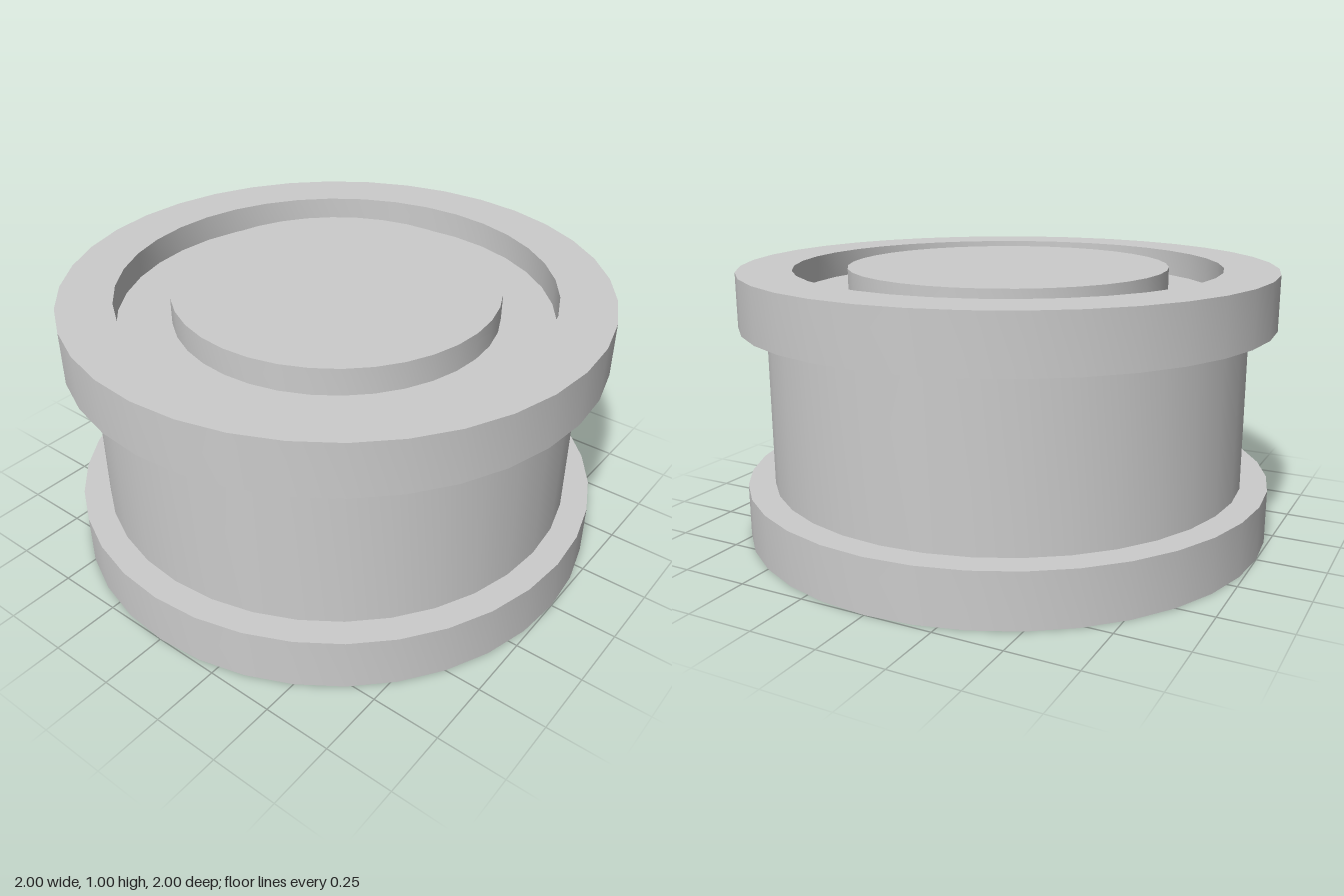
import * as THREE from 'three';
import { toCreasedNormals } from 'three/addons/utils/BufferGeometryUtils.js';

const SEGMENTS = 36;

export function createModel() {
  const group = new THREE.Group();
  group.name = 'flangedSpool';
  const material = new THREE.MeshStandardMaterial({ color: 0xcccccc });

  // Turned part from [radius, height] points, listed from bottom to top along the outside
  const turned = (name, profile) => {
    const points = profile.map(([r, y]) => new THREE.Vector2(r, y));
    const geometry = toCreasedNormals(new THREE.LatheGeometry(points, SEGMENTS), Math.PI / 6);
    const mesh = new THREE.Mesh(geometry, material);
    mesh.name = name;
    group.add(mesh);
  };

  // Solid base flange with its ledge around the barrel
  turned('bottomFlange', [[0, 0], [1, 0], [1, 0.2], [0.9, 0.2]]);

  // Narrower barrel between the flanges
  turned('barrel', [[0.9, 0.2], [0.9, 0.8]]);

  // Top flange, stepping down inside to the floor of the ring groove
  turned('topFlange', [[0.9, 0.8], [1, 0.8], [1, 1], [0.8, 1], [0.8, 0.9], [0.6, 0.9]]);

  // Raised disc in the middle, level with the rim
  turned('centreDisc', [[0.6, 0.9], [0.6, 1], [0, 1]]);

  return group;
}
